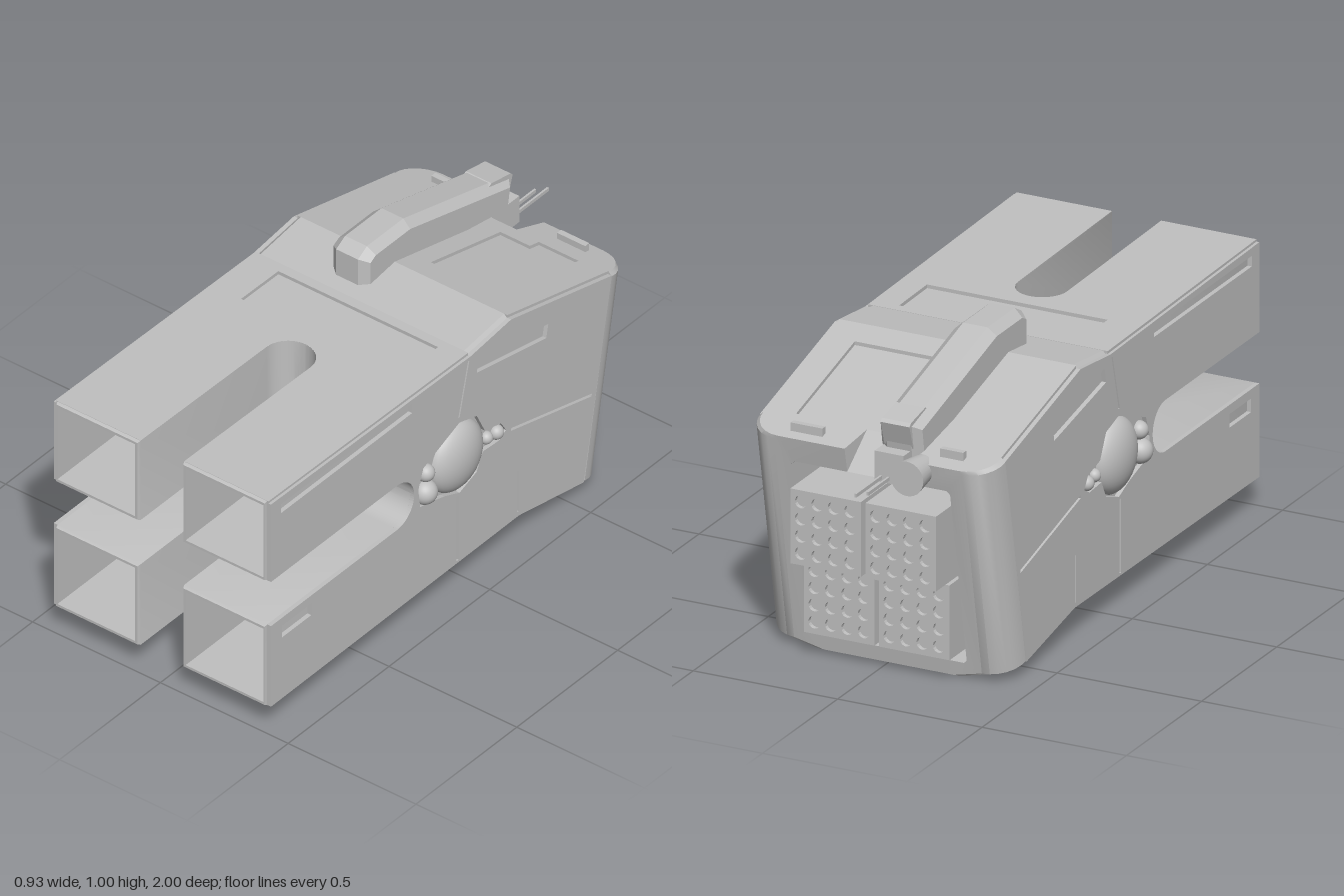
import * as THREE from 'three';
import { toCreasedNormals } from 'three/addons/utils/BufferGeometryUtils.js';

const SIDE = 0.425, SKIN = 0.015, TOP_SKIN = 0.012, MID = 0.495, R = 0.085;
const TOP_SLOPE = 0.254, BOTTOM_SLOPE = 0.238;
const deckY = (z) => 0.895 + TOP_SLOPE * (z + 0.2);
const frontY = (z) => 0.87 + 0.015 * z;
const keelY = (z) => 0.1 + BOTTOM_SLOPE * (z + 0.24);

// Skin through rings that run counter-clockwise seen from +z, first ring foremost
function loft(rings, capEnd = true) {
  const n = rings[0].length, idx = [];
  rings.slice(1).forEach((_, r) => {
    for (let i = 0; i < n; i++) {
      const a = r * n + i, b = r * n + (i + 1) % n;
      idx.push(a, a + n, b, b, a + n, b + n);
    }
  });
  const e = (rings.length - 1) * n;
  for (let i = 1; i < n - 1; i++) {
    idx.push(0, i, i + 1);
    if (capEnd) idx.push(e, e + i + 1, e + i);
  }
  const g = new THREE.BufferGeometry();
  g.setAttribute('position', new THREE.Float32BufferAttribute(rings.flat(2), 3));
  g.setIndex(idx);
  return toCreasedNormals(g, 0.5);
}

// Rectangle path along a centre line, for slots and seams
function strip(x1, y1, x2, y2, w) {
  const d = new THREE.Vector2(x2 - x1, y2 - y1).normalize().multiplyScalar(w / 2);
  return [[x1 - d.y, y1 + d.x], [x1 + d.y, y1 - d.x], [x2 + d.y, y2 - d.x], [x2 - d.y, y2 + d.x]];
}
const path = (pts, Type = THREE.Path) => new Type(pts.map((p) => new THREE.Vector2(...p)));

// Hull cross-section on a plane leaning from (zT,yT) down to (zB,yB)
function hullRing({ zT, yT, zB, yB, hw, cx = 0.02, cy = 0.01, ct = 0.012, lift = false, notch = true }) {
  const pts = [
    [-hw + cx, yB], [-0.185, yB], [-0.185, lift ? 0.095 : yB], [0.185, lift ? 0.095 : yB],
    [0.185, yB], [hw - cx, yB], [hw, yB + cy], [hw, yT - ct], [hw - ct, yT],
    [0.08, yT], [0.06, yT], [-0.11, yT], [-0.13, yT], [-hw + ct, yT], [-hw, yT - ct], [-hw, yB + cy],
  ];
  return pts.map(([x, y], i) => {
    let z = zB + (zT - zB) * (y - yB) / (yT - yB);
    if (notch && (i === 10 || i === 11) && z < -0.69) {
      y += TOP_SLOPE * (-0.69 - z);
      z = -0.69;
    }
    return [x, y, z];
  });
}

function hullGeometry() {
  const inner = SIDE - SKIN, rear = { cx: 0.1, cy: 0.025 };
  const rings = [
    { zT: 0.28, yT: 0.862, zB: 0.28, yB: 0.1, hw: inner },
    { zT: 0, yT: 0.858, zB: 0, yB: 0.1, hw: inner },
    { zT: 0, yT: 0.87, zB: 0, yB: 0.1, hw: inner },
    { zT: -0.2, yT: 0.895, zB: -0.2, yB: 0.1, hw: inner },
    { zT: -0.2, yT: 0.883, zB: -0.24, yB: 0.1, hw: inner, lift: true },
  ];
  const leaning = (zT, zB, hw, extra) =>
    rings.push({ zT, yT: deckY(zT), zB, yB: keelY(zB), hw, ...rear, ...extra });
  for (const lift of [true, false]) leaning(-0.6, -0.48, inner, { yT: deckY(-0.6) - TOP_SKIN, lift });
  leaning(-0.7, -0.56, inner, { yT: deckY(-0.7) - TOP_SKIN });
  // rounded rear corners
  for (let k = 0; k <= 6; k++) {
    const a = k * Math.PI / 12, d = 0.1 * Math.sin(a);
    leaning(-0.7 - d, -0.56 - d, SIDE - 0.1 * (1 - Math.cos(a)));
  }
  // rear bay
  const bay = { yT: 0.66, yB: 0.05, hw: 0.275, cx: 0.01, cy: 0.01, notch: false };
  rings.push({ zT: -0.782, zB: -0.668, ...bay }, { zT: -0.6, zB: -0.56, ...bay });
  return loft(rings.map(hullRing));
}

// One hollow prong, with its inner corner swept back round the slot ends
function prongGeometry(sx, upper) {
  const ring = (z, h, inset = 0) => {
    const xs = [sx * (h + inset), sx * (SIDE - SKIN - inset * 0.5)].sort((a, b) => a - b);
    const ys = upper ? [MID + h + inset, frontY(z) - TOP_SKIN + 0.012 - inset] : [0.1 + inset, MID - h - inset];
    return [[xs[0], ys[0], z], [xs[1], ys[0], z], [xs[1], ys[1], z], [xs[0], ys[1], z]];
  };
  const rings = [ring(0.45, R, 0.014), ring(1, R, 0.014), ring(1, R, 0.005), ring(0.99, R)];
  for (let k = 0; k <= 10; k++) {
    const a = k * Math.PI / 20;
    rings.push(ring(0.365 - R * Math.sin(a), R * Math.cos(a)));
  }
  return loft(rings, false);
}

// Side panel pierced by slots, seams and the pocket round the dome
function sidePanelGeometry() {
  const s = path([[0.99, 0.1], [0.99, 0.41], [0.365, 0.41]], THREE.Shape);
  s.absarc(0.365, MID, R, -Math.PI / 2, -Math.PI * 1.5, true);
  [[0.99, 0.58], [0.99, 0.878], [0, 0.862], [-0.2, 0.885], [-0.7, 0.758], [-0.56, 0.045], [-0.24, 0.108]]
    .forEach((p) => s.lineTo(...p));
  const holes = [
    strip(0.94, 0.833, 0.29, 0.833, 0.035), strip(0.935, 0.357, 0.79, 0.357, 0.045),
    strip(-0.035, 0.805, -0.38, 0.735, 0.05), strip(-0.2, 0.462, -0.6, 0.358, 0.01),
    strip(0.065, 0.36, 0.065, 0.115, 0.01), strip(-0.235, 0.28, -0.235, 0.125, 0.007),
    strip(0.058, 0.66, 0.01, 0.85, 0.007),
    [[0.26, 0.5], [0.235, 0.57], [0.12, 0.615], [0.055, 0.64], [-0.03, 0.615], [-0.07, 0.535], [-0.15, 0.515],
      [-0.175, 0.475], [-0.14, 0.455], [-0.06, 0.46], [-0.03, 0.4], [0.055, 0.37], [0.13, 0.4], [0.2, 0.42], [0.25, 0.43]],
  ];
  s.holes = holes.map((h) => path(h));
  return new THREE.ExtrudeGeometry(s, { depth: SKIN, bevelEnabled: false, curveSegments: 16 }).rotateY(-Math.PI / 2);
}

// Thin top plate drawn in (x, -z), laid along a height rule
function topPanelGeometry(shape, height) {
  const g = new THREE.ExtrudeGeometry(shape, { depth: TOP_SKIN, bevelEnabled: false, curveSegments: 16 });
  g.rotateX(-Math.PI / 2);
  const p = g.attributes.position;
  for (let i = 0; i < p.count; i++) p.setY(i, p.getY(i) + height(p.getZ(i)) - TOP_SKIN);
  g.computeVertexNormals();
  return g;
}

export function createModel() {
  const model = new THREE.Group();
  const grey = new THREE.MeshStandardMaterial({ color: 0xc0c0c0 });
  grey.name = 'light grey';
  const add = (name, geometry, x = 0, y = 0, z = 0, parent = model) => {
    const m = new THREE.Mesh(geometry, grey);
    m.name = name;
    m.position.set(x, y, z);
    parent.add(m);
    return m;
  };

  add('hull', hullGeometry());
  for (const sx of [1, -1])
    for (const upper of [true, false])
      add(`${upper ? 'upper' : 'lower'}${sx > 0 ? 'Left' : 'Right'}Prong`, prongGeometry(sx, upper));

  // side panels with domes
  const side = sidePanelGeometry();
  const ball = new THREE.SphereGeometry(1, 32, 20);
  for (const sx of [1, -1]) {
    const tag = sx > 0 ? 'left' : 'right';
    add(`${tag}SidePanel`, side, sx > 0 ? SIDE : SKIN - SIDE);
    add(`${tag}Dome`, ball, sx * 0.4, 0.505, 0.055).scale.set(0.064, 0.125, 0.125);
    [[0.21, 0.535, 0.03], [0.215, 0.465, 0.042], [-0.09, 0.492, 0.022], [-0.14, 0.484, 0.025]].forEach(([z, y, r]) =>
      add(`${tag}Stud`, ball, sx * 0.414, y, z).scale.setScalar(r));
  }

  // front top plate with its slot and sunken panel
  const front = path([[-0.415, 0], [-0.415, -0.99], [-R, -0.99], [-R, -0.365]], THREE.Shape);
  front.absarc(0, -0.365, R, Math.PI, 0, true);
  [[R, -0.99], [0.415, -0.99], [0.415, 0]].forEach((p) => front.lineTo(...p));
  front.holes.push(path([[-0.3, -0.22], [0.325, -0.22], [0.325, -0.035], [-0.3, -0.035]]));
  add('frontTopPanel', topPanelGeometry(front, (z) => frontY(z) + 0.001));

  // sloping rear deck plate with a stepped recess
  const deck = path([[-0.41, 0.2], [0.41, 0.2], [0.41, 0.7], [0.08, 0.7], [0.06, 0.69], [-0.11, 0.69], [-0.13, 0.7], [-0.41, 0.7]], THREE.Shape);
  deck.holes.push(path([[0.04, 0.29], [0.31, 0.29], [0.31, 0.68], [0.155, 0.68], [0.155, 0.635], [0.04, 0.635]]));
  add('rearDeckPanel', topPanelGeometry(deck, deckY));
  [[-0.265, -0.74, 0.08], [0.23, -0.755, 0.11]].forEach(([x, z, w]) =>
    add('deckTab', new THREE.BoxGeometry(w, 0.04, 0.02), x, deckY(z) + 0.005, z));

  // bevelled carrying handle and its rear fittings
  const grip = path([[-0.055, 0.84], [-0.055, 0.975], [-0.1, 1], [-0.28, 1], [-0.8, 0.86], [-0.78, 0.74], [-0.2, 0.84]], THREE.Shape);
  add('handle', new THREE.ExtrudeGeometry(grip, {
    depth: 0.085, bevelThickness: 0.03, bevelSize: 0.025, bevelOffset: -0.025, bevelSegments: 1,
  }).rotateY(-Math.PI / 2), -0.06);
  const endCap = path([[-0.68, 0.875], [-0.705, 0.888], [-0.8, 0.87], [-0.81, 0.86], [-0.785, 0.78], [-0.71, 0.79]], THREE.Shape);
  add('handleEnd', new THREE.ExtrudeGeometry(endCap, { depth: 0.1, bevelEnabled: false }).rotateY(-Math.PI / 2), -0.05);
  add('rearMount', new THREE.BoxGeometry(0.1, 0.1, 0.17), -0.09, 0.72, -0.745);
  add('barrel', new THREE.CylinderGeometry(0.042, 0.057, 0.11, 28).rotateX(Math.PI / 2), -0.172, 0.715, -0.815);
  for (const [x, tip] of [[-0.088, -0.97], [-0.062, -1]])
    add('contactPin', new THREE.BoxGeometry(0.007, 0.012, tip * -1 - 0.75), x, 0.686, (tip - 0.75) / 2);

  // four dimpled blocks in the rear bay
  const plate = path([[-0.122, -0.124], [0.122, -0.124], [0.122, 0.124], [-0.122, 0.124]], THREE.Shape);
  for (let i = 0; i < 4; i++)
    for (let j = 0; j < 4; j++)
      plate.holes.push(new THREE.Path().absarc((i - 1.5) * 0.057, (j - 1.5) * 0.057, 0.021, 0, Math.PI * 2));
  const face = new THREE.ExtrudeGeometry(plate, { depth: 0.015, bevelEnabled: false, curveSegments: 8 });
  for (const [y, z] of [[0.466, -0.83], [0.206, -0.74]])
    for (const x of [-0.13, 0.13]) {
      const depth = -0.5 - z - 0.015;
      add('rearBlockFace', face, x, y, z);
      add('rearBlock', new THREE.BoxGeometry(0.244, 0.248, depth), x, y, z + 0.015 + depth / 2);
    }
  return model;
}
